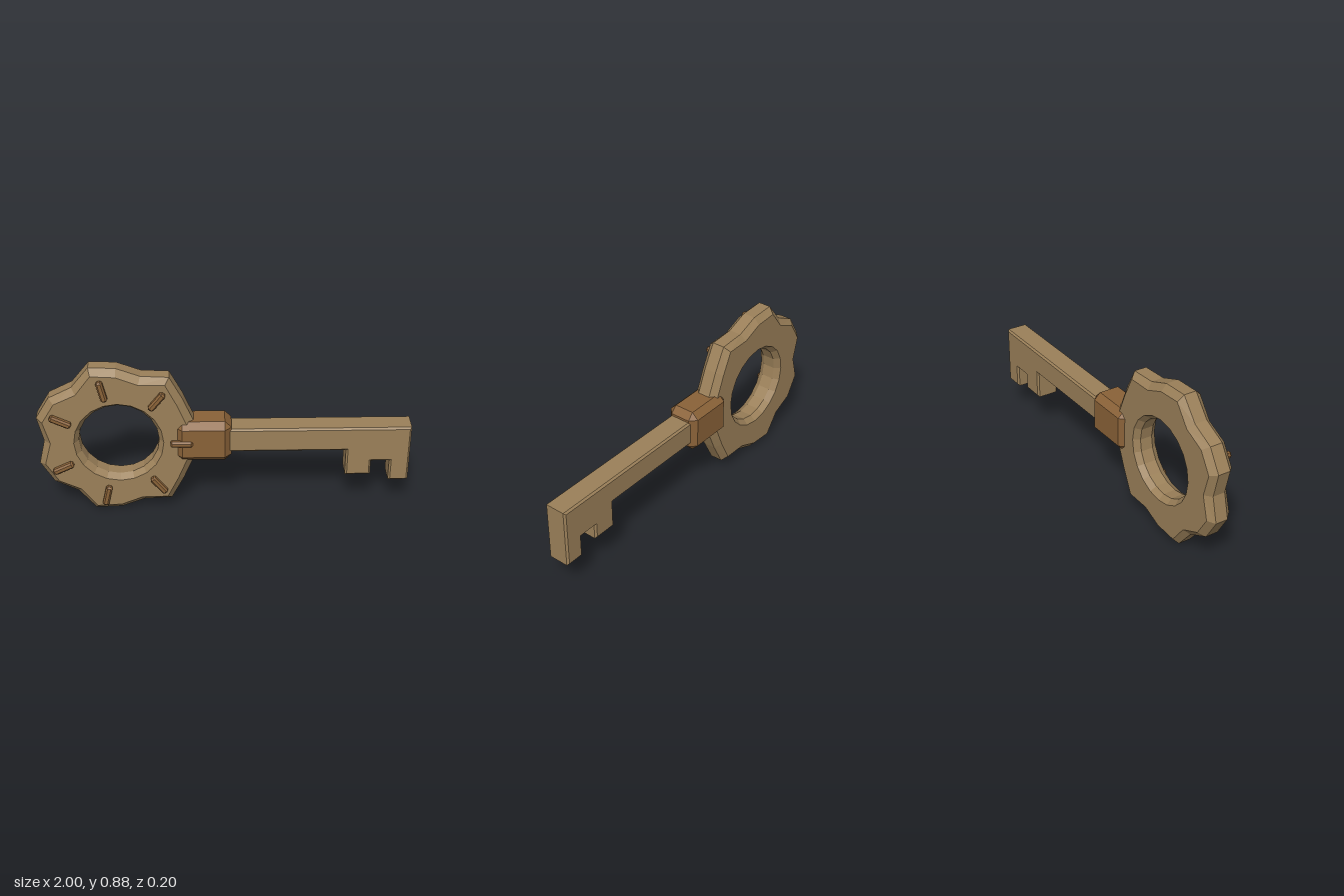
import * as THREE from 'three';
import { ConvexGeometry } from 'three/addons/geometries/ConvexGeometry.js';

const paint = (color) => new THREE.MeshStandardMaterial({ color, flatShading: true });

// Box with every edge chamfered by c
function chamferBox(w, h, d, c) {
  const points = [];
  for (const sx of [-1, 1]) for (const sy of [-1, 1]) for (const sz of [-1, 1]) {
    const x = w / 2, y = h / 2, z = d / 2;
    points.push(
      new THREE.Vector3(sx * x, sy * (y - c), sz * (z - c)),
      new THREE.Vector3(sx * (x - c), sy * y, sz * (z - c)),
      new THREE.Vector3(sx * (x - c), sy * (y - c), sz * z));
  }
  return new ConvexGeometry(points);
}

// Ring with a seven-lobed rim: a bevelled cross-section swept round the hole
function lobedRing(sides) {
  const positions = [], index = [], n = 8;
  for (let i = 0; i < sides; i++) {
    const a = (i / sides) * Math.PI * 2;
    const rim = 0.435 + 0.035 * Math.cos(7 * a);
    const section = [
      [rim - 0.036, 0.065], [rim, 0.03], [rim, -0.04], [rim - 0.036, -0.072],
      [0.24, -0.072], [0.215, -0.04], [0.215, 0.03], [0.24, 0.065],
    ];
    for (const [r, z] of section) positions.push(r * Math.cos(a), r * Math.sin(a), z);
    for (let j = 0; j < n; j++) {
      const k = (i + 1) % sides, l = (j + 1) % n;
      const p = i * n + j, q = i * n + l, s = k * n + j, t = k * n + l;
      index.push(p, q, s, q, t, s);
    }
  }
  const g = new THREE.BufferGeometry();
  g.setAttribute('position', new THREE.Float32BufferAttribute(positions, 3));
  g.setIndex(index);
  const flat = g.toNonIndexed();
  flat.computeVertexNormals();
  return flat;
}

export function createModel() {
  const key = new THREE.Group();
  key.name = 'key';
  const brass = paint(0x9b8059), bronze = paint(0x8a6238);
  const add = (parent, name, geometry, material, x, y, z) => {
    const mesh = new THREE.Mesh(geometry, material);
    mesh.name = name;
    mesh.position.set(x, y, z);
    parent.add(mesh);
    return mesh;
  };

  // Bow: the lobed ring with raised ticks on its front
  const bow = new THREE.Group();
  bow.name = 'bow';
  bow.position.set(-0.567, 0.4405, 0);
  key.add(bow);
  add(bow, 'ring', lobedRing(20), brass, 0, 0, 0);
  const tickGeometry = chamferBox(0.12, 0.035, 0.036, 0.009);
  for (let i = 0; i < 7; i++) {
    const a = (i / 7) * Math.PI * 2;
    const tick = add(bow, 'tick', tickGeometry, bronze, 0.335 * Math.cos(a), 0.335 * Math.sin(a), 0.081);
    tick.rotation.z = a;
  }

  // Collar joining bow and blade
  add(key, 'collar', chamferBox(0.3, 0.24, 0.185, 0.036), bronze, -0.115, 0.4405, -0.004);

  // Blade: shaft and two teeth, with a narrow bevel
  const b = 0.01;
  const outline = [
    [-0.1, 0.512], [-0.1, 0.372], [0.652, 0.372], [0.652, 0.215], [0.79, 0.215],
    [0.79, 0.302], [0.89, 0.302], [0.89, 0.178], [0.998, 0.178], [0.998, 0.512],
  ];
  const shape = new THREE.Shape(outline.map(([x, y]) => new THREE.Vector2(x, y)));
  const bladeGeometry = new THREE.ExtrudeGeometry(shape, {
    depth: 0.13 - 2 * b, bevelEnabled: true, bevelSegments: 1,
    bevelThickness: b, bevelSize: b, bevelOffset: -b,
  });
  add(key, 'blade', bladeGeometry, brass, 0, 0, -0.069 + b);

  return key;
}
